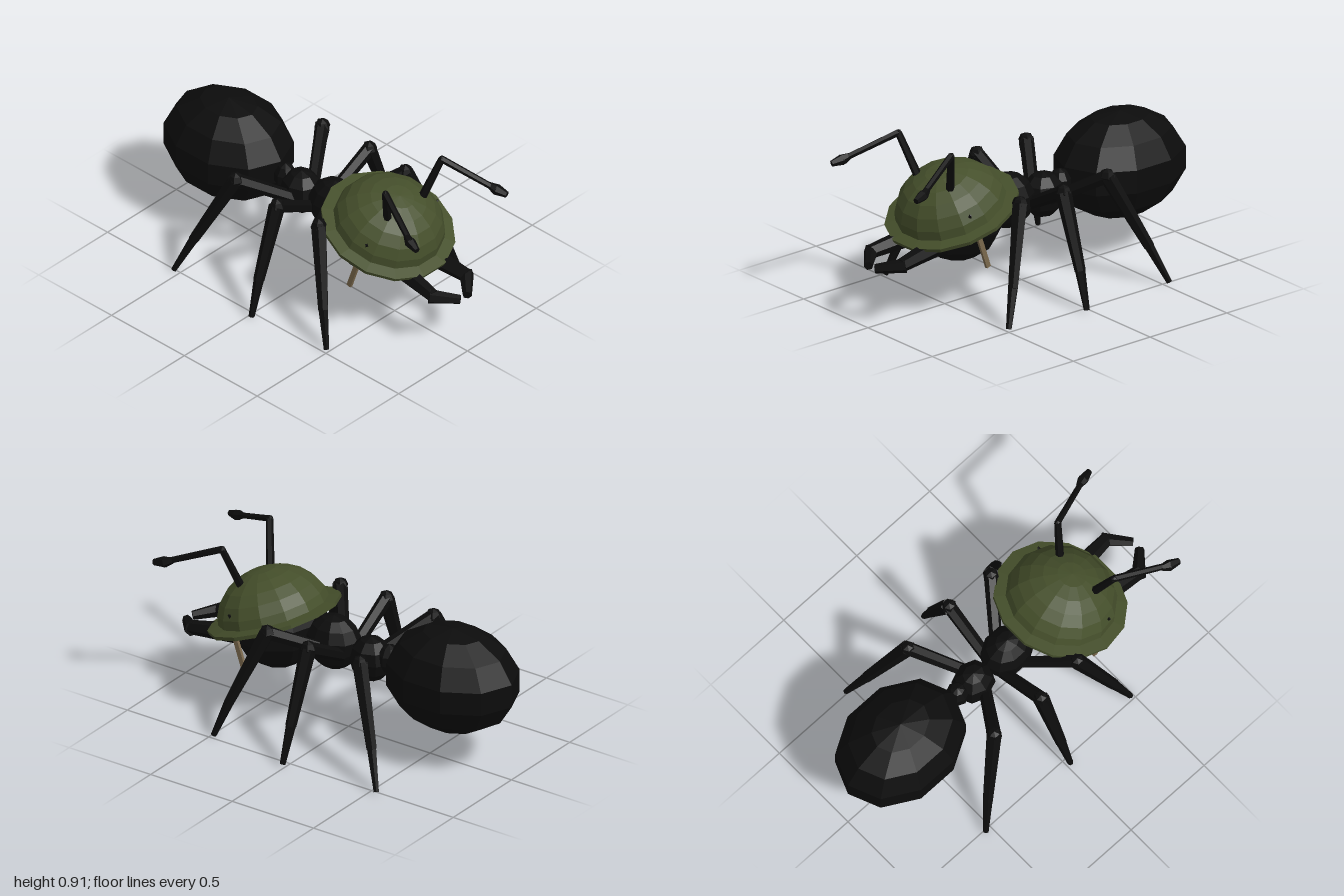
import * as THREE from 'three';

const mat = (name, color, side = THREE.FrontSide) =>
  new THREE.MeshStandardMaterial({ name, color, side, flatShading: true });

export function createModel() {
  const ant = new THREE.Group();
  ant.name = 'ant';
  const black = mat('shell black', 0x0c0c0c);
  const olive = mat('helmet olive', 0x454f2b, THREE.DoubleSide);
  const tan = mat('strap tan', 0x7a684c);

  const add = (name, geometry, material, parent = ant) => {
    const mesh = new THREE.Mesh(geometry, material);
    mesh.name = name;
    parent.add(mesh);
    return mesh;
  };
  // Low-poly ellipsoid
  const ball = (name, pos, radii, w = 10, h = 7, parent = ant) => {
    const m = add(name, new THREE.SphereGeometry(1, w, h), black, parent);
    m.position.set(...pos);
    m.scale.set(...radii);
    return m;
  };
  // Tapered rod between two points
  const rod = (name, a, b, ra, rb, parent, sides = 6) => {
    const p = new THREE.Vector3(...a), q = new THREE.Vector3(...b);
    const m = add(name, new THREE.CylinderGeometry(rb, ra, p.distanceTo(q), sides), black, parent);
    m.position.copy(p).lerp(q, 0.5);
    m.quaternion.setFromUnitVectors(new THREE.Vector3(0, 1, 0), q.sub(p).normalize());
    return m;
  };

  // Body segments
  ball('abdomen', [-0.64, 0.473, 0], [0.37, 0.278, 0.289]);
  ball('waist', [-0.25, 0.46, 0], [0.06, 0.08, 0.06], 8, 5);
  ball('rearThorax', [-0.14, 0.43, 0], [0.115, 0.12, 0.105], 8, 6);
  ball('frontThorax', [0.09, 0.457, 0], [0.15, 0.145, 0.12], 10, 7);
  ball('head', [0.425, 0.465, 0], [0.24, 0.23, 0.25], 10, 7);

  // Helmet: brim and dome, tipped toward the face
  const helmet = new THREE.Group();
  helmet.name = 'helmet';
  helmet.position.set(0.455, 0.505, 0);
  helmet.rotation.z = THREE.MathUtils.degToRad(-20);
  ant.add(helmet);
  const profile = (pts) => pts.map(([x, y]) => new THREE.Vector2(x, y));
  add('helmetBrim', new THREE.LatheGeometry(
    profile([[0.27, -0.01], [0.345, -0.015], [0.348, 0.005], [0.285, 0.015]]), 14), olive, helmet);
  const dome = [];
  for (let i = 0; i <= 6; i++) {
    const t = (i / 6) * Math.PI / 2;
    dome.push([0.29 * Math.cos(t), 0.24 * Math.sin(t)]);
  }
  dome[6][0] = 0;
  add('helmetDome', new THREE.LatheGeometry(profile(dome), 14), olive, helmet);

  // Leg points for z > 0: hip, knee, shin joint, foot
  const legs = {
    front: [[0.08, 0.44, 0.07], [0.275, 0.58, 0.315], [0.42, 0.2, 0.435], [0.485, 0.01, 0.48]],
    middle: [[0.0, 0.43, 0.06], [0.008, 0.58, 0.335], [0.015, 0.2, 0.475], [0.022, 0.01, 0.535]],
    rear: [[-0.12, 0.42, 0.06], [-0.295, 0.58, 0.315], [-0.46, 0.2, 0.445], [-0.535, 0.01, 0.51]],
  };

  for (const s of [1, -1]) {
    const side = new THREE.Group();
    side.name = s > 0 ? 'nearSideParts' : 'farSideParts';
    ant.add(side);
    const at = ([x, y, z]) => [x, y, z * s];

    for (const [key, pts] of Object.entries(legs)) {
      const [hip, knee, joint, foot] = pts.map(at);
      const leg = new THREE.Group();
      leg.name = key + 'Leg';
      side.add(leg);
      rod('thigh', hip, knee, 0.032, 0.036, leg);
      ball('knee', knee, [0.042, 0.042, 0.042], 6, 4, leg);
      rod('shin', knee, joint, 0.042, 0.028, leg);
      rod('foot', joint, foot, 0.026, 0.015, leg);
    }

    // Bent antenna with a knob at the tip
    const antenna = new THREE.Group();
    antenna.name = 'antenna';
    side.add(antenna);
    const elbow = at([0.63, 0.895, 0.205]);
    rod('antennaStalk', at([0.55, 0.6, 0.1]), elbow, 0.023, 0.018, antenna);
    ball('antennaElbow', elbow, [0.018, 0.018, 0.018], 6, 4, antenna);
    rod('antennaArm', elbow, at([0.9, 0.79, 0.31]), 0.018, 0.016, antenna);
    rod('antennaKnobBack', at([0.865, 0.802, 0.3]), at([0.905, 0.787, 0.313]), 0.016, 0.029, antenna);
    rod('antennaKnobTip', at([0.905, 0.787, 0.313]), at([0.962, 0.775, 0.328]), 0.029, 0.016, antenna);

    // Curved jaw in two sections
    const jaw = new THREE.Group();
    jaw.name = 'jaw';
    side.add(jaw);
    rod('jawBase', at([0.58, 0.385, 0.09]), at([0.885, 0.345, 0.12]), 0.055, 0.036, jaw);
    rod('jawTip', at([0.865, 0.345, 0.135]), at([0.975, 0.322, 0.025]), 0.038, 0.024, jaw);

    // Eye corner showing through the helmet
    const eye = rod('eye', at([0.535, 0.53, 0.22]), at([0.55, 0.572, 0.262]), 0.03, 0.005, side, 4);
    eye.name = 'eye';

    // Hanging chin strap
    const strap = add('chinStrap', new THREE.BoxGeometry(0.026, 0.23, 0.016), tan, side);
    strap.position.set(0.477, 0.378, 0.265 * s);
    strap.rotation.z = -0.33;
  }
  return ant;
}
